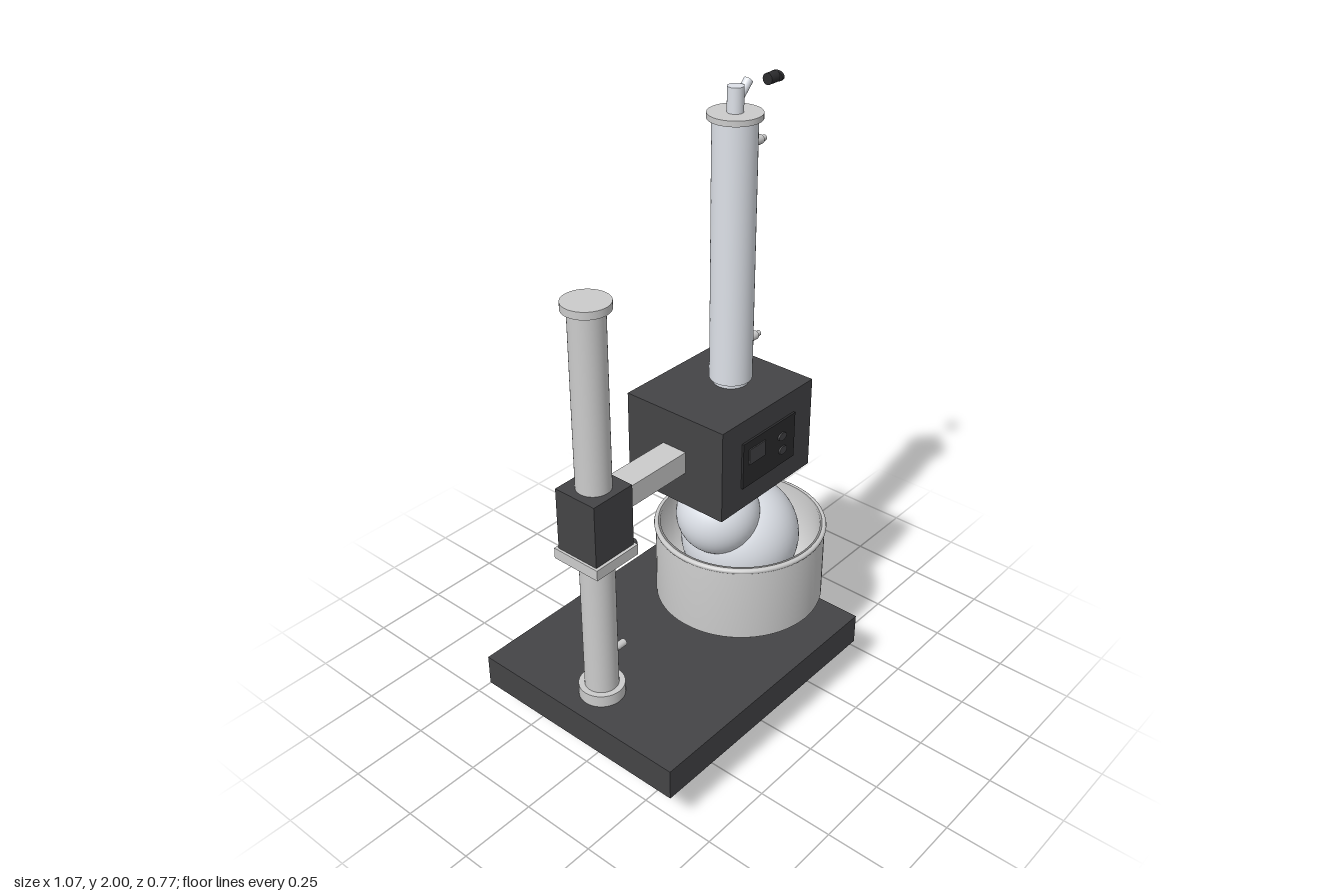
import * as THREE from 'three';

const mat = (color) => new THREE.MeshStandardMaterial({ color });
const light = mat(0xcccccc), glass = mat(0xdde1e8), dark = mat(0x444446);
const black = mat(0x2c2c2e), blue = mat(0x24465c), red = mat(0x8a1515), green = mat(0x178a35);

export function createModel() {
  const model = new THREE.Group();
  const add = (name, geo, m, x = 0, y = 0, z = 0) => {
    const mesh = new THREE.Mesh(geo, m);
    mesh.name = name;
    mesh.position.set(x, y, z);
    model.add(mesh);
    return mesh;
  };
  // Box given by its min and max on each axis
  const box = (name, m, [x0, x1], [y0, y1], [z0, z1]) =>
    add(name, new THREE.BoxGeometry(x1 - x0, y1 - y0, z1 - z0), m, (x0 + x1) / 2, (y0 + y1) / 2, (z0 + z1) / 2);
  // Upright cylinder from y0 to y1
  const post = (name, m, x, z, y0, y1, r, rBottom = r) =>
    add(name, new THREE.CylinderGeometry(r, rBottom, y1 - y0, 40), m, x, (y0 + y1) / 2, z);
  // Cylinder lying along x
  const rodX = (name, m, x0, x1, y, z, r) => {
    const mesh = add(name, new THREE.CylinderGeometry(r, r, x1 - x0, 20), m, (x0 + x1) / 2, y, z);
    mesh.rotation.z = Math.PI / 2;
    return mesh;
  };
  // Cylinder lying along z
  const rodZ = (name, m, x, y, z0, z1, r) => {
    const mesh = add(name, new THREE.CylinderGeometry(r, r, z1 - z0, 24), m, x, y, (z0 + z1) / 2);
    mesh.rotation.x = Math.PI / 2;
    return mesh;
  };

  // Base plate and feet
  box('basePlate', dark, [-0.54, 0.39], [0.13, 0.235], [-0.385, 0.385]);
  for (const x of [-0.465, 0.31])
    for (const z of [-0.32, 0.32]) post('foot', black, x, z, 0.108, 0.13, 0.038, 0.03);

  // Lift under the bath
  box('liftPlate', dark, [0.125, 0.375], [0, 0.035], [-0.125, 0.125]);
  post('liftPost', light, 0.25, 0, 0.035, 0.24, 0.034);
  post('liftFlange', light, 0.25, 0, 0.235, 0.255, 0.07);

  // Stand column with collar, cap and side peg
  const cx = -0.4175;
  post('standColumn', light, cx, 0, 0.235, 1.55, 0.053);
  post('standCollar', light, cx, 0, 0.235, 0.275, 0.072);
  post('standCap', light, cx, 0, 1.545, 1.568, 0.07);
  rodX('standPeg', light, -0.38, -0.315, 0.365, 0, 0.012);

  // Sliding clamp, its plate and screws, and the arm
  box('clampBlock', dark, [-0.495, -0.34], [0.78, 0.99], [-0.075, 0.075]);
  box('clampPlate', light, [-0.503, -0.333], [0.75, 0.785], [-0.085, 0.085]);
  for (const z of [-0.052, 0.052]) rodX('clampScrew', dark, -0.34, -0.312, 0.768, z, 0.012);
  box('arm', light, [-0.345, -0.07], [0.885, 0.957], [-0.044, 0.044]);

  // Drive head
  box('driveHead', dark, [-0.075, 0.355], [0.77, 1.075], [-0.185, 0.185]);

  // Front control panel
  box('frontPanel', black, [0.015, 0.265], [0.845, 1.0], [0.18, 0.192]);
  box('frontDisplay', dark, [0.04, 0.115], [0.92, 0.972], [0.19, 0.196]);
  for (const [x, y] of [[0.2, 0.945], [0.205, 0.895]])
    rodZ('frontButton', dark, x, y, 0.185, 0.197, 0.019).scale.z = 0.7;

  // Rear control panel with lamps and knobs
  box('rearPanel', black, [0.03, 0.25], [0.92, 1.055], [-0.192, -0.18]);
  box('rearDisplay', blue, [0.045, 0.235], [0.935, 1.04], [-0.194, -0.19]);
  [[0.095, green], [0.14, red], [0.19, light]].forEach(([x, m]) =>
    rodZ('rearLamp', m, x, 0.99, -0.2, -0.19, 0.014));
  for (const x of [0.047, 0.232]) {
    rodZ('rearKnobStem', light, x, 0.862, -0.21, -0.18, 0.016);
    rodZ('rearKnob', light, x, 0.862, -0.22, -0.2, 0.026);
  }

  // Heating bath with a rolled rim
  const profile = [[0, 0.25], [0.272, 0.25], [0.278, 0.256], [0.278, 0.525], [0.262, 0.525], [0.262, 0.265], [0, 0.265]];
  const bath = new THREE.LatheGeometry(profile.map(([r, y]) => new THREE.Vector2(r, y)), 64);
  add('bath', bath, new THREE.MeshStandardMaterial({ color: 0xcccccc, side: THREE.DoubleSide }), 0.25);
  add('bathRim', new THREE.TorusGeometry(0.274, 0.009, 10, 64), light, 0.25, 0.518).rotation.x = Math.PI / 2;
  add('indicator', new THREE.SphereGeometry(0.008, 12, 8), red, 0.496, 0.525, -0.25);

  // Flask, vapour bulb and their neck
  add('flask', new THREE.SphereGeometry(0.195, 48, 32), glass, 0.25, 0.474);
  add('vapourBulb', new THREE.SphereGeometry(0.135, 40, 28), glass, 0.135, 0.615);
  post('bulbNeck', glass, 0.15, 0, 0.72, 0.775, 0.032);
  post('neckFlange', light, 0.15, 0, 0.755, 0.77, 0.08).scale.x = 0.5;

  // Condenser
  const tx = 0.1875;
  post('condenserSeat', glass, tx, 0, 1.07, 1.1, 0.055);
  post('condenser', glass, tx, 0, 1.09, 1.905, 0.066);
  post('condenserCap', light, tx, 0, 1.9, 1.917, 0.08);
  post('topPort', glass, tx, 0, 1.91, 1.99, 0.024);
  const branch = add('topBranch', new THREE.CylinderGeometry(0.014, 0.014, 0.075, 20), glass, 0.216, 1.967);
  branch.rotation.z = -Math.PI / 4;

  // Hose barbs on the condenser
  for (const y of [1.185, 1.808]) {
    rodX('hoseBarb', light, 0.24, 0.322, y, 0, 0.009);
    rodX('hoseBarbCollar', light, 0.265, 0.305, y, 0, 0.014);
  }

  // Loose valve piece beside the top port
  rodX('valveBody', black, 0.328, 0.364, 1.975, 0, 0.017);
  rodX('valveFlange', black, 0.364, 0.375, 1.975, 0, 0.024).scale.x = 0.65;

  return model;
}
